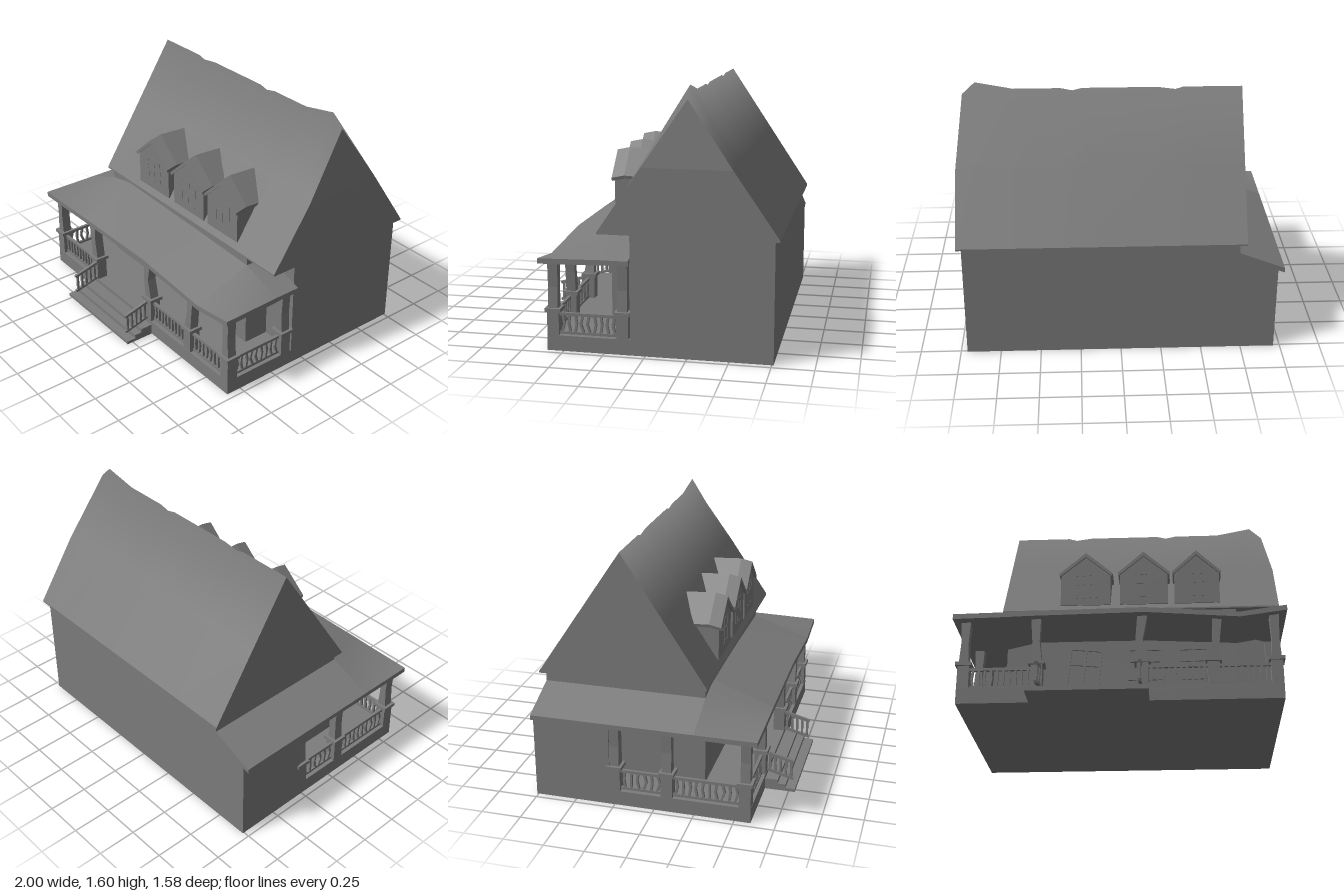
import * as THREE from 'three';
import { toCreasedNormals } from 'three/addons/utils/BufferGeometryUtils.js';

const color = 0x7c7c7c;
const mat = new THREE.MeshStandardMaterial({ color, flatShading: true, side: THREE.DoubleSide });
const smoothMat = new THREE.MeshStandardMaterial({ color, side: THREE.DoubleSide });

function add(parent, name, geo, material = mat) {
  const m = new THREE.Mesh(geo, material);
  m.name = name;
  parent.add(m);
  return m;
}

// Box given by its min and max on each axis
function box(parent, name, x0, x1, y0, y1, z0, z1) {
  const m = add(parent, name, new THREE.BoxGeometry(x1 - x0, y1 - y0, z1 - z0));
  m.position.set((x0 + x1) / 2, (y0 + y1) / 2, (z0 + z1) / 2);
  return m;
}

// Square bar between two points
function bar(parent, name, a, b, w) {
  const p = new THREE.Vector3(...a), d = new THREE.Vector3(...b).sub(p);
  const m = add(parent, name, new THREE.BoxGeometry(w, d.length(), w));
  m.position.copy(p).addScaledVector(d, 0.5);
  m.quaternion.setFromUnitVectors(new THREE.Vector3(0, 1, 0), d.normalize());
  return m;
}

// Solid through a row of equal rings, turned outward by its signed volume
function loft(rings) {
  const n = rings[0].length, last = (rings.length - 1) * n, idx = [];
  for (let s = 0; s < rings.length - 1; s++)
    for (let i = 0; i < n; i++) {
      const a = s * n + i, b = s * n + (i + 1) % n;
      idx.push(a, b, b + n, a, b + n, a + n);
    }
  for (let i = 1; i < n - 1; i++) idx.push(0, i + 1, i, last, last + i, last + i + 1);
  const v = rings.flat().map(p => new THREE.Vector3(...p));
  let volume = 0;
  for (let i = 0; i < idx.length; i += 3)
    volume += v[idx[i]].dot(new THREE.Vector3().crossVectors(v[idx[i + 1]], v[idx[i + 2]]));
  if (volume < 0) idx.reverse();
  const g = new THREE.BufferGeometry().setFromPoints(v);
  g.setIndex(idx);
  const flat = g.toNonIndexed();
  flat.computeVertexNormals();
  return flat;
}

const polygon = pts => new THREE.Shape(pts.map(p => new THREE.Vector2(...p)));
const extrude = (shape, depth) => new THREE.ExtrudeGeometry(shape, { depth, bevelEnabled: false });

// Window frame with four panes
function windowFrame(parent, name, cx, cy, w, h, z, tilt = 0, depth = 0.012) {
  const t = 0.012;
  const s = polygon([[-w / 2, -h / 2], [w / 2, -h / 2], [w / 2, h / 2], [-w / 2, h / 2]]);
  for (const [x0, x1] of [[-w / 2 + t, -t / 2], [t / 2, w / 2 - t]])
    for (const [y0, y1] of [[-h / 2 + t, h * 0.1 - t / 2], [h * 0.1 + t / 2, h / 2 - t]])
      s.holes.push(new THREE.Path([[x0, y0], [x0, y1], [x1, y1], [x1, y0]].map(p => new THREE.Vector2(...p))));
  const m = add(parent, name, extrude(s, depth));
  m.position.set(cx, cy, z);
  m.rotation.z = tilt;
}

// Railing from a to b (points at deck level) with crooked balusters
function railing(parent, name, a, b, count, crooked = 0.005) {
  const g = new THREE.Group();
  g.name = name;
  parent.add(g);
  const at = (t, y) => [a[0] + (b[0] - a[0]) * t, a[1] + (b[1] - a[1]) * t + y, a[2] + (b[2] - a[2]) * t];
  bar(g, 'bottomRail', at(0, 0.012), at(1, 0.012), 0.016);
  bar(g, 'topRail', at(0, 0.128), at(1, 0.128), 0.018);
  const len = Math.hypot(b[0] - a[0], b[2] - a[2]);
  for (let i = 0; i < count; i++) {
    const t = (i + 0.5) / count, k = crooked * Math.sin(i * i * 1.7 + a[0] * 9) / len;
    bar(g, 'balusterLower', at(t - k, 0.015), at(t + k, 0.07), 0.014);
    bar(g, 'balusterUpper', at(t + k, 0.068), at(t - k * 0.4, 0.125), 0.014);
  }
}

// Pier, cap and slightly bent post
function porchPost(parent, name, x, z, mid = 0, top = 0) {
  const g = new THREE.Group();
  g.name = name;
  parent.add(g);
  box(g, 'pier', x - 0.035, x + 0.035, 0, 0.245, z - 0.036, z + 0.036);
  box(g, 'cap', x - 0.048, x + 0.048, 0.24, 0.262, z - 0.048, z + 0.048);
  const ring = (dx, y, r) => [[-r, -1], [r, -1], [r, 1], [-r, 1]].map(([u, v]) => [x + dx + u, y, z + v * 0.03]);
  add(g, 'post', loft([ring(0, 0.26, 0.03), ring(mid, 0.39, 0.022), ring(top, 0.545, 0.03)]));
}

// Main roof: slopes through uneven ridge stations, shaded round at the ridge, with flat ends and soffit
function mainRoof(parent) {
  const ridge = [[-0.76, 1.555], [-0.4, 1.555], [-0.35, 1.54], [-0.24, 1.555], [0.22, 1.555], [0.28, 1.54],
    [0.35, 1.555], [0.64, 1.555], [0.87, 1.6], [0.95, 1.525]];
  const eaveY = 0.745, apexZ = -0.25, cut = [0, 0.5, 1, 0.5, 0], n = cut.length;
  const sections = ridge.map(([x, y], s) => cut.map((t, i) => {
    const eaveZ = i < 2 ? 0.28 : -0.79;
    const reach = s === ridge.length - 1 ? [0.99, 0.99, 0.95, 0.99, 0.99][i] : x;
    return [reach, eaveY + (y - eaveY) * t, eaveZ + (apexZ - eaveZ) * t];
  }));
  const idx = [];
  for (let s = 0; s < ridge.length - 1; s++)
    for (let i = 0; i < n - 1; i++) {
      const a = s * n + i;
      idx.push(a, a + n, a + n + 1, a, a + n + 1, a + 1);
    }
  const slopes = new THREE.BufferGeometry().setFromPoints(sections.flat().map(p => new THREE.Vector3(...p)));
  slopes.setIndex(idx);
  const rowNormals = [[0, 0.54, 0.84], [0, 0.54, 0.84], [0, 1, 0], [0, 0.55, -0.83], [0, 0.55, -0.83]];
  slopes.setAttribute('normal', new THREE.Float32BufferAttribute(sections.flatMap(() => rowNormals.flat()), 3));
  add(parent, 'roofSlopes', slopes, smoothMat);
  for (const [name, ring, flip] of [['leftGable', sections.at(-1), false], ['rightGable', sections[0], true]]) {
    const g = new THREE.BufferGeometry().setFromPoints(ring.map(p => new THREE.Vector3(...p)));
    const tri = [0, 4, 3, 0, 3, 1, 1, 3, 2];
    g.setIndex(flip ? tri.reverse() : tri);
    g.computeVertexNormals();
    add(parent, name, g);
  }
  box(parent, 'soffit', -0.76, 0.99, 0.735, 0.745, -0.79, 0.28);
}

function dormer(parent, cx, half, peak, tilt) {
  const g = new THREE.Group();
  g.name = 'dormer';
  g.position.x = cx;
  parent.add(g);
  const eave = 1.015, w = half - 0.008;
  add(g, 'dormerWalls', extrude(polygon([[-w, 0.785], [w, 0.785], [w, eave], [0, peak - 0.02], [-w, eave]]), 0.24)).position.z = 0.02;
  // Chevron roof that rises a little behind its front edge
  const ring = (z, dy) => [[-half, eave - 0.02], [-half - 0.005, eave], [0, peak], [half + 0.005, eave],
    [half, eave - 0.02], [0, peak - 0.03]].map(([x, y]) => [x, y + dy, z]);
  for (const side of [-1, 1]) {
    const pick = side < 0 ? [0, 1, 2, 5] : [4, 3, 2, 5];
    add(g, 'dormerRoof', loft([[0.278, -0.012], [0.2, 0.004], [0, -0.006]].map(([z, dy]) => pick.map(i => ring(z, dy)[i]))));
  }
  windowFrame(g, 'dormerWindow', 0, 0.92, 0.14, 0.17, 0.257, tilt, 0.005);
}

export function createModel() {
  const house = new THREE.Group();
  house.name = 'house';

  // Base and walls
  box(house, 'base', -0.96, 0.96, 0, 0.095, -0.76, 0.6);
  const walls = add(house, 'walls', extrude(polygon([[-0.72, -0.26], [0.72, -0.26], [0.72, -0.09], [0.96, -0.09],
    [0.96, 0.76], [-0.72, 0.76]]), 0.74));
  walls.rotation.x = -Math.PI / 2;
  add(house, 'sideWing', extrude(polygon([[-0.96, 0], [-0.71, 0], [-0.71, 0.65], [-0.96, 0.55]]), 0.48)).position.z = -0.76;

  const roof = new THREE.Group();
  roof.name = 'mainRoof';
  house.add(roof);
  mainRoof(roof);
  [[-0.235, 0.168, 1.165, 0.06], [0.138, 0.162, 1.165, -0.05], [0.478, 0.152, 1.165, 0.04]].forEach(d => dormer(house, ...d));

  // Porch roof in three panels: x, back height, front height, ceiling height at the wall
  const panels = [
    [[-1, 0.56, 0.56, 0.53], [-0.72, 0.67, 0.565, 0.485], [-0.53, 0.707, 0.57, 0.53]],
    [[-0.53, 0.707, 0.57, 0.53], [0.15, 0.69, 0.58, 0.53], [0.72, 0.67, 0.537, 0.5]],
    [[0.72, 0.67, 0.537, 0.5], [1, 0.583, 0.575, 0.55]],
  ];
  for (const stations of panels)
    add(house, 'porchRoof', toCreasedNormals(loft(stations.map(([x, b, f, c]) =>
      [[x, b, 0.26], [x, f, 0.64], [x, f - 0.032, 0.64], [x, c, 0.26]])), 0.6), smoothMat);
  const sideRoof = (name, xo, yo, xi, z0, z1) => add(house, name, loft([z0, z1].map(z =>
    [[xi, 0.67, z], [xo, yo, z], [xo, yo - 0.03, z], [xi, 0.63, z]])));
  sideRoof('wingRoof', -1, 0.56, -0.72, -0.76, 0.26);
  sideRoof('sidePorchRoof', 1, 0.583, 0.72, 0.09, 0.26);

  // Posts: x, z, bend at the middle, shift at the top
  [[-0.925, 0.563], [-0.49, 0.563, -0.008, -0.012], [0.137, 0.563, -0.02, 0], [0.555, 0.563, 0.02, 0.03],
    [0.925, 0.563], [0.925, 0.138], [-0.925, 0.08], [-0.925, -0.25]]
    .forEach(p => porchPost(house, 'porchPost', ...p));

  // Railings around the porch and beside the steps
  const y = 0.095;
  railing(house, 'frontRailing', [-0.89, y, 0.57], [-0.525, y, 0.57], 10);
  railing(house, 'frontRailing', [0.172, y, 0.57], [0.52, y, 0.57], 10);
  railing(house, 'frontRailing', [0.59, y, 0.57], [0.89, y, 0.57], 8);
  railing(house, 'sideRailing', [0.93, y, 0.527], [0.93, y, 0.174], 9, 0.01);
  railing(house, 'sideRailing', [-0.93, y, 0.527], [-0.93, y, 0.116], 10, 0.01);
  railing(house, 'sideRailing', [-0.93, y, 0.044], [-0.93, y, -0.214], 6, 0.01);
  for (const x of [-0.47, 0.125]) railing(house, 'stairRailing', [x, 0.095, 0.6], [x, 0.05, 0.77], 5, 0);

  // Front steps
  [[0.07, 0.68], [0.045, 0.73], [0.02, 0.79]].forEach(([h, z]) => box(house, 'step', -0.53, 0.175, 0, h, 0.59, z));

  // Windows on the porch wall
  windowFrame(house, 'porchWindow', -0.235, 0.34, 0.205, 0.27, 0.258, -0.1);
  windowFrame(house, 'porchWindow', 0.145, 0.365, 0.21, 0.21, 0.258);
  windowFrame(house, 'porchWindow', 0.445, 0.365, 0.19, 0.21, 0.258, 0.02);

  return house;
}
